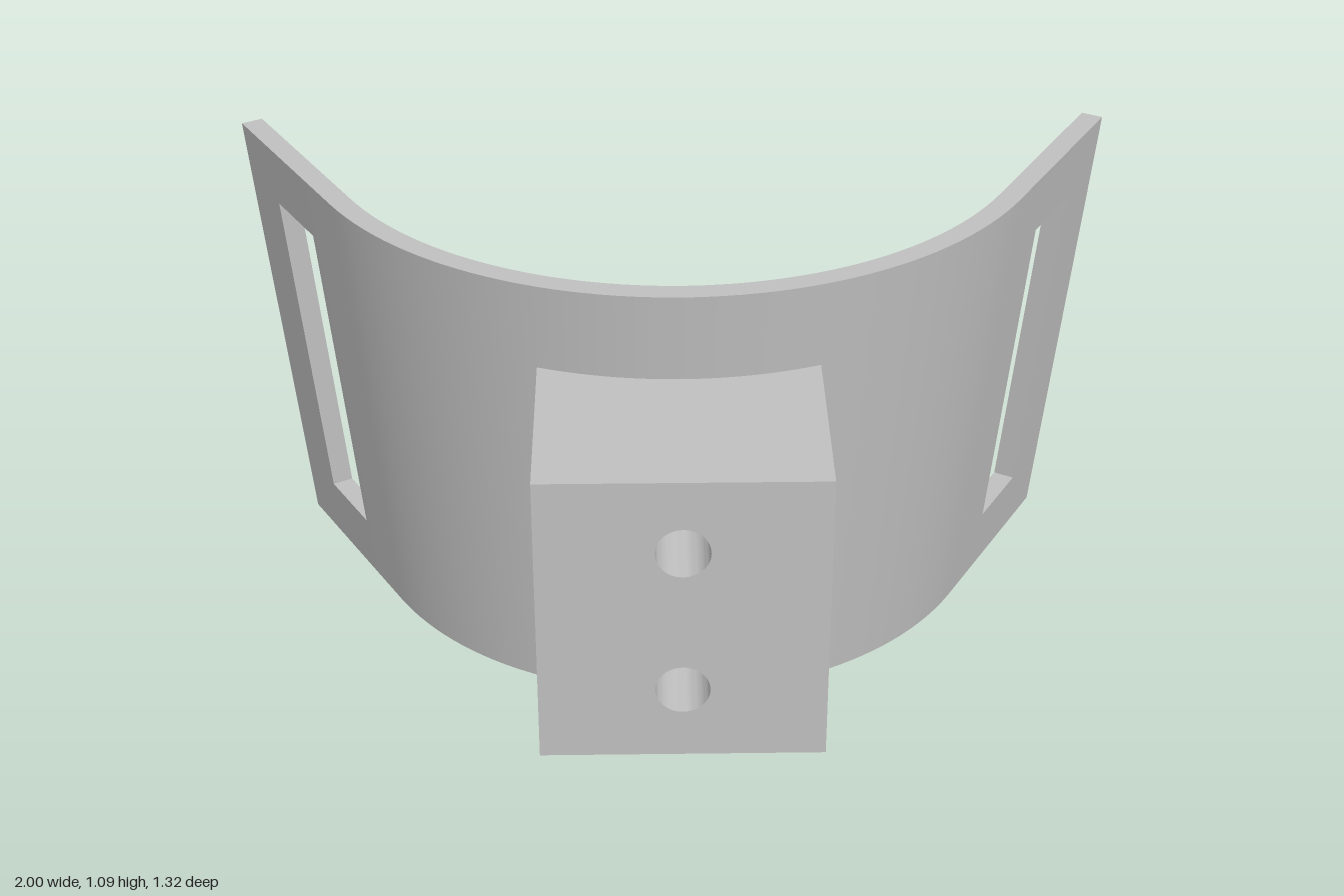
import * as THREE from 'three';
import { toCreasedNormals } from 'three/addons/utils/BufferGeometryUtils.js';

const H = 1.09;              // shell height
const CZ = -0.597;           // z of the cone axis
const THICK = 0.05;
const FLAT = 0.49;           // length of the straight ends
const HOLE_R = 0.057, HOLE_Y = [0.378, 0.717];
const SLOT = [2.3, 2.688], SLOT_Y = [0.15, 0.945];
const BLOCK = { x: 0.3, lo: 0.21, hi: 0.885, z: 0.657 };

const radius = (y, inset) => 0.767 + 0.105 * y / H - inset;

// Point on the shell. |u| 0..1 is the bolt hole zone, 1..2 the arc, 2..3 the straight end.
function shellPoint(u, y, inset) {
  const a = Math.abs(u), s = Math.sign(u), r = radius(y, inset);
  const start = Math.asin(HOLE_R / r);
  const angle = a <= 1 ? Math.asin(a * HOLE_R / r)
    : THREE.MathUtils.lerp(start, Math.PI / 3, Math.min(a - 1, 1));
  const t = Math.max(0, a - 2) * FLAT;
  return [s * (r * Math.sin(angle) + t * Math.cos(angle)), y,
    CZ + r * Math.cos(angle) - t * Math.sin(angle)];
}

// Solid height ranges of a column crossed by the two bolt holes
function holeSpans(u, lo, hi) {
  const h = HOLE_R * Math.sqrt(Math.max(0, 1 - u * u));
  return [[lo, HOLE_Y[0] - h], [HOLE_Y[0] + h, HOLE_Y[1] - h], [HOLE_Y[1] + h, hi]];
}

// Solid slab made of vertical columns, with openings between the spans of a column
function slab(us, spans, front, back, walls) {
  const pos = [];
  const quad = (a, b, c, d) => pos.push(...a, ...b, ...c, ...a, ...c, ...d);
  for (let i = 0; i < us.length - 1; i++) {
    const u = us[i], v = us[i + 1], mid = (u + v) / 2;
    const su = spans(u, mid), sv = spans(v, mid);
    su.forEach(([l0, h0], k) => {
      const [l1, h1] = sv[k];
      quad(front(u, l0), front(v, l1), front(v, h1), front(u, h0));
      quad(back(v, l1), back(u, l0), back(u, h0), back(v, h1));
      quad(front(u, h0), front(v, h1), back(v, h1), back(u, h0));
      quad(back(u, l0), back(v, l1), front(v, l1), front(u, l0));
    });
  }
  // upright walls: [u, low, high, facing], mirrored to both sides
  for (const [w, lo, hi, facing] of walls) for (const s of [1, -1]) {
    const u = w * s;
    const c = [front(u, lo), back(u, lo), back(u, hi), front(u, hi)];
    if (facing * s < 0) c.reverse();
    quad(...c);
  }
  const g = new THREE.BufferGeometry();
  g.setAttribute('position', new THREE.Float32BufferAttribute(pos, 3));
  return toCreasedNormals(g, 0.5);
}

// Column positions mirrored about zero, with fine steps across the holes
function columns(side) {
  const hole = [];
  for (let k = 1; k < 24; k++) hole.push(-Math.cos(k * Math.PI / 24));
  return [...side.map(u => -u).reverse(), ...hole, ...side];
}

export function createModel() {
  const group = new THREE.Group();
  const grey = new THREE.MeshStandardMaterial({ color: 0xc0c0c0 });
  grey.name = 'grey';
  const add = (name, geometry) => {
    const mesh = new THREE.Mesh(geometry, grey);
    mesh.name = name;
    group.add(mesh);
  };

  // flared curved shell with strap slots in its straight ends
  const arc = [];
  for (let k = 0; k <= 24; k++) arc.push(1 + k / 24);
  const shellSpans = (u, mid) => {
    const m = Math.abs(mid);
    if (m < 1) return holeSpans(u, 0, H);
    if (m > SLOT[0] && m < SLOT[1]) return [[0, SLOT_Y[0]], [SLOT_Y[1], H]];
    return [[0, H]];
  };
  add('curvedShell', slab(columns([...arc, ...SLOT, 3]), shellSpans,
    (u, y) => shellPoint(u, y, 0), (u, y) => shellPoint(u, y, THICK),
    [[3, 0, H, 1], [SLOT[0], ...SLOT_Y, 1], [SLOT[1], ...SLOT_Y, -1]]));

  // mounting block, its back sunk slightly into the shell
  const side = [];
  for (let k = 0; k <= 8; k++) side.push(THREE.MathUtils.lerp(1, BLOCK.x / HOLE_R, k / 8));
  const blockSpans = (u, mid) => Math.abs(mid) < 1
    ? holeSpans(u, BLOCK.lo, BLOCK.hi) : [[BLOCK.lo, BLOCK.hi]];
  const blockBack = (u, y) => {
    const x = u * HOLE_R, r = radius(y, 0.015);
    return [x, y, CZ + Math.sqrt(r * r - x * x)];
  };
  add('mountingBlock', slab(columns(side), blockSpans,
    (u, y) => [u * HOLE_R, y, BLOCK.z], blockBack,
    [[BLOCK.x / HOLE_R, BLOCK.lo, BLOCK.hi, 1]]));

  return group;
}
